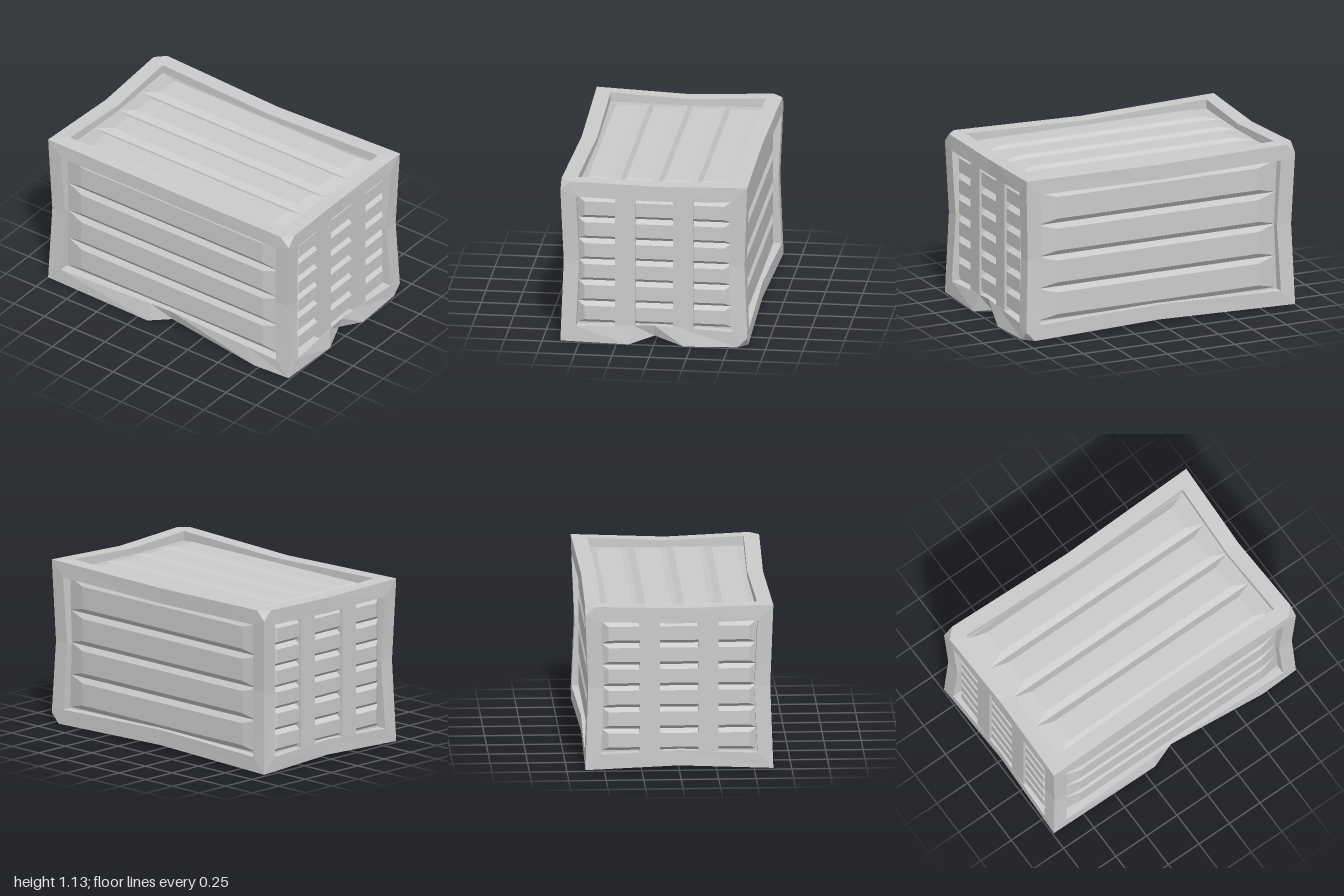
import * as THREE from 'three';

const HALF = [0.627, 0.56, 0.993]; // half extents of the crate
const BEAM = 0.105;                // beam thickness
const PINCH = 0.02;                // how far beams bow inward at the middle
const CHIP = 0.065;                // size of broken corners
const RECESS = 0.065;              // depth of the backing behind the planks
const CHIPPED = ['-1,1,1', '1,1,-1', '1,-1,1'];

const material = new THREE.MeshStandardMaterial({ color: 0xcccccc, flatShading: true });

function makeMesh(name, geometry) {
  const mesh = new THREE.Mesh(geometry, material);
  mesh.name = name;
  return mesh;
}

function fromTriangles(positions) {
  const g = new THREE.BufferGeometry();
  g.setAttribute('position', new THREE.Float32BufferAttribute(positions, 3));
  g.computeVertexNormals();
  return g;
}

// Mitred beam along one axis; dents lists the two bulges beside a central notch
function beam(a, sb, sc, dents) {
  const b = (a + 1) % 3, c = (a + 2) % 3;
  const stations = dents ? [-1, dents[0], 0, dents[1], 1] : [-1, 0, 1];
  // outer corner, inner edge of each face, inmost corner
  const strands = [[0, 0], [BEAM, 0], [BEAM, BEAM], [0, BEAM]];
  const point = (k, t) => {
    const outer = k === 0, p = [0, 0, 0];
    let inward = PINCH * (1 - Math.abs(t));
    if (dents && outer && Math.abs(t) < 1) inward = t === 0 ? 0.045 : -0.007;
    p[b] = sb * (HALF[b] - strands[k][0] - inward);
    p[c] = sc * (HALF[c] - strands[k][1] - inward);
    p[a] = t * (HALF[a] - (outer ? 0 : BEAM));
    if (outer && Math.abs(t) === 1) {
      const corner = [0, 0, 0];
      corner[a] = t; corner[b] = sb; corner[c] = sc;
      if (CHIPPED.includes(corner.join())) p[a] -= t * CHIP;
    }
    return p;
  };
  const out = [];
  for (let i = 0; i < stations.length - 1; i++) {
    for (let k = 0; k < 4; k++) {
      const n = (k + 1) % 4;
      const q = [point(k, stations[i]), point(n, stations[i]),
        point(n, stations[i + 1]), point(k, stations[i + 1])];
      if (sb * sc < 0) q.reverse();
      out.push(...q[0], ...q[1], ...q[2], ...q[0], ...q[2], ...q[3]);
    }
  }
  return fromTriangles(out);
}

// Closes a broken corner: the cut itself and the three face pieces beside it
function chippedCorner(s) {
  const cut = [0, 1, 2].map(a => HALF.map((h, i) => s[i] * (h - (i === a ? CHIP : 0))));
  const tris = [[cut[0], cut[1], cut[2]]];
  for (let n = 0; n < 3; n++) {
    const inset = HALF.map((h, i) => s[i] * (h - (i === n ? 0 : BEAM)));
    tris.push([cut[(n + 1) % 3], inset, cut[(n + 2) % 3]]);
  }
  if (s[0] * s[1] * s[2] < 0) tris.forEach(t => t.reverse());
  return fromTriangles(tris.flat(2));
}

// Board facing +z whose front is drawn in by a bevel on all sides
function plank(width, height, depth, bevelX, bevelY) {
  const g = new THREE.BoxGeometry(width, height, depth);
  const p = g.attributes.position;
  for (let i = 0; i < p.count; i++) {
    if (p.getZ(i) > 0) {
      p.setX(i, p.getX(i) - Math.sign(p.getX(i)) * bevelX);
      p.setY(i, p.getY(i) - Math.sign(p.getY(i)) * bevelY);
    }
  }
  g.translate(0, 0, depth / 2);
  g.computeVertexNormals();
  return g;
}

// Stack of horizontal planks in the xy plane, facing +z
function panel(name, count, width, height, relief, bevelX, bevelY) {
  const group = new THREE.Group();
  group.name = name;
  const step = height / count;
  for (let i = 0; i < count; i++) {
    const m = makeMesh('plank', plank(width, step, relief, bevelX, bevelY));
    m.position.y = (i - (count - 1) / 2) * step;
    group.add(m);
  }
  return group;
}

export function createModel() {
  const crate = new THREE.Group();
  crate.name = 'crate';
  const body = new THREE.Group();
  body.name = 'body';
  body.position.y = HALF[1] + 0.007;
  crate.add(body);

  // Twelve frame beams, two of them splintered along the bottom
  const frame = new THREE.Group();
  frame.name = 'frame';
  for (let a = 0; a < 3; a++) {
    for (const sb of [-1, 1]) for (const sc of [-1, 1]) {
      let dents = null;
      if (a === 0 && sb === -1 && sc === 1) dents = [-0.27, 0.32];
      if (a === 2 && sb === -1 && sc === -1) dents = [-0.17, 0.72];
      frame.add(makeMesh('frameBeam', beam(a, sb, sc, dents)));
    }
  }
  for (const key of CHIPPED) {
    frame.add(makeMesh('chippedCorner', chippedCorner(key.split(',').map(Number))));
  }
  body.add(frame);

  // Backing seen in the grooves
  body.add(makeMesh('backing', new THREE.BoxGeometry(...HALF.map(h => 2 * (h - RECESS)))));

  // Front and back: six slats behind two upright boards
  for (const s of [1, -1]) {
    const end = panel(s > 0 ? 'frontPanel' : 'backPanel', 6, 1.03, 0.88, 0.035, 0.045, 0.026);
    for (const x of [-0.195, 0.195]) {
      const board = makeMesh('uprightBoard', new THREE.BoxGeometry(0.135, 0.89, 0.05));
      board.position.set(x, 0, 0.025);
      end.add(board);
    }
    end.position.z = s * (HALF[2] - RECESS);
    end.rotation.y = s > 0 ? 0 : Math.PI;
    body.add(end);
  }

  // Left and right: four long planks
  for (const s of [1, -1]) {
    const side = panel(s > 0 ? 'leftPanel' : 'rightPanel', 4, 1.75, 0.888, 0.025, 0.13, 0.035);
    side.position.x = s * (HALF[0] - RECESS);
    side.rotation.y = s * Math.PI / 2;
    body.add(side);
  }

  // Top and bottom: four planks running front to back
  for (const s of [1, -1]) {
    const lid = panel(s > 0 ? 'topPanel' : 'bottomPanel', 4, 1.75, 1.03, 0.025, 0.12, 0.045);
    lid.position.y = s * (HALF[1] - RECESS);
    lid.rotation.set(-s * Math.PI / 2, 0, Math.PI / 2);
    body.add(lid);
  }
  return crate;
}
